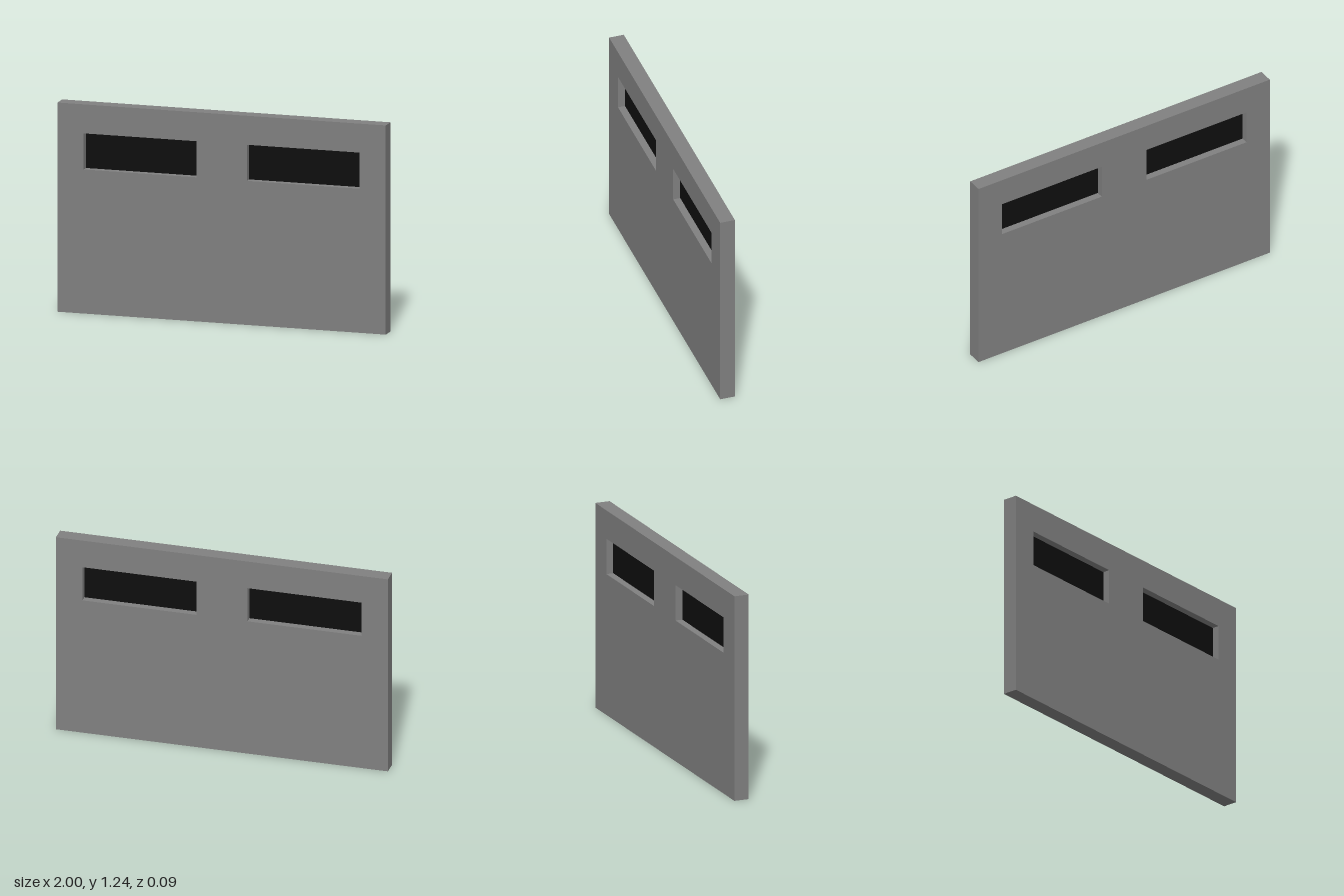
import * as THREE from 'three';

const WIDTH = 2, HEIGHT = 1.24, DEPTH = 0.09;
const WINDOW = { x: 0.497, y: 0.961, w: 0.686, h: 0.214 };

// Traces a rectangle centred on (x, y) into a shape or path
function rectangle(path, x, y, w, h) {
  path.moveTo(x - w / 2, y - h / 2);
  path.lineTo(x + w / 2, y - h / 2);
  path.lineTo(x + w / 2, y + h / 2);
  path.lineTo(x - w / 2, y + h / 2);
  path.closePath();
  return path;
}

export function createModel() {
  const panelGrey = new THREE.MeshStandardMaterial({ color: 0x808080 });
  panelGrey.name = 'panelGrey';
  const glassBlack = new THREE.MeshStandardMaterial({ color: 0x0e0e0e });
  glassBlack.name = 'glassBlack';

  const model = new THREE.Group();
  model.name = 'windowedPanel';

  // Slab with two window openings
  const outline = rectangle(new THREE.Shape(), 0, HEIGHT / 2, WIDTH, HEIGHT);
  for (const side of [-1, 1]) {
    outline.holes.push(rectangle(new THREE.Path(), side * WINDOW.x, WINDOW.y, WINDOW.w, WINDOW.h));
  }
  const slab = new THREE.ExtrudeGeometry(outline, { depth: DEPTH, bevelEnabled: false });
  slab.translate(0, 0, -DEPTH / 2);
  const panel = new THREE.Mesh(slab, panelGrey);
  panel.name = 'panel';
  model.add(panel);

  // Dark panes set midway through the openings
  for (const [side, name] of [[1, 'leftPane'], [-1, 'rightPane']]) {
    const pane = new THREE.Mesh(new THREE.BoxGeometry(WINDOW.w, WINDOW.h, 0.004), glassBlack);
    pane.name = name;
    pane.position.set(side * WINDOW.x, WINDOW.y, 0);
    model.add(pane);
  }

  return model;
}
